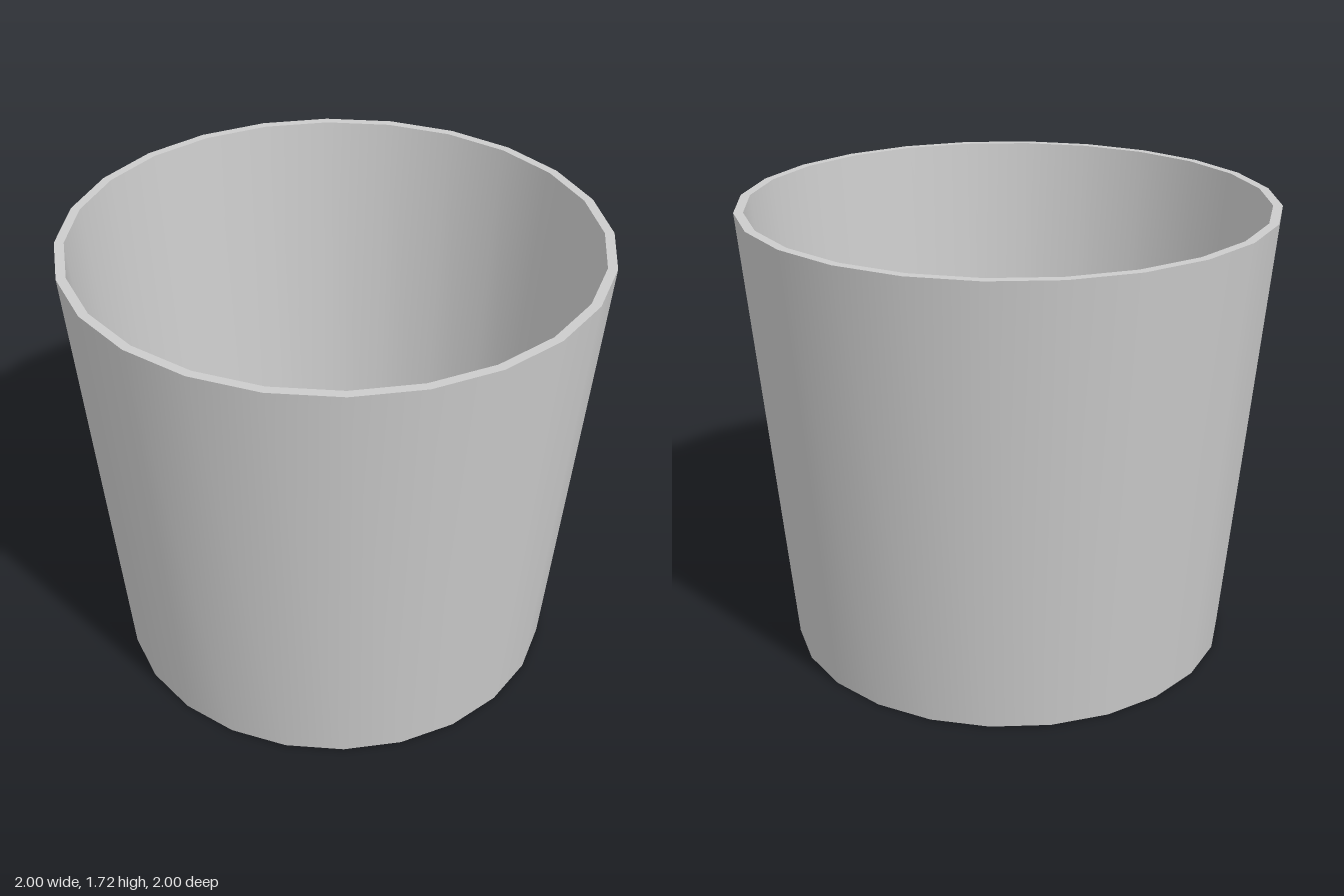
import * as THREE from 'three';

const SIDES = 24;
const HEIGHT = 1.72;
const FLOOR_Y = 0.02;
const OUTER_TOP = 1.0, OUTER_BOTTOM = 0.845;
const INNER_TOP = 0.965, INNER_BOTTOM = 0.81;

export function createModel() {
  const group = new THREE.Group();
  group.name = 'tub';
  const material = new THREE.MeshStandardMaterial({ color: 0xcccccc });

  // Closed wall profile: each band is its own lathe, so the lips stay sharp
  const corners = [
    [OUTER_BOTTOM, 0], [OUTER_TOP, HEIGHT], [INNER_TOP, HEIGHT], [INNER_BOTTOM, 0],
  ].map(([r, y]) => new THREE.Vector2(r, y));
  ['outerWall', 'topRim', 'innerWall', 'bottomRim'].forEach((name, i) => {
    const band = new THREE.LatheGeometry([corners[i], corners[(i + 1) % 4]], SIDES);
    const mesh = new THREE.Mesh(band, material);
    mesh.name = name;
    group.add(mesh);
  });

  // Thin floor, set slightly above the bottom rim
  const floorRadius = INNER_BOTTOM + (INNER_TOP - INNER_BOTTOM) * FLOOR_Y / HEIGHT;
  const floorMaterial = material.clone();
  floorMaterial.side = THREE.DoubleSide;
  const floor = new THREE.Mesh(new THREE.CircleGeometry(floorRadius, SIDES), floorMaterial);
  floor.name = 'floor';
  floor.rotation.x = -Math.PI / 2;
  floor.position.y = FLOOR_Y;
  group.add(floor);

  return group;
}
